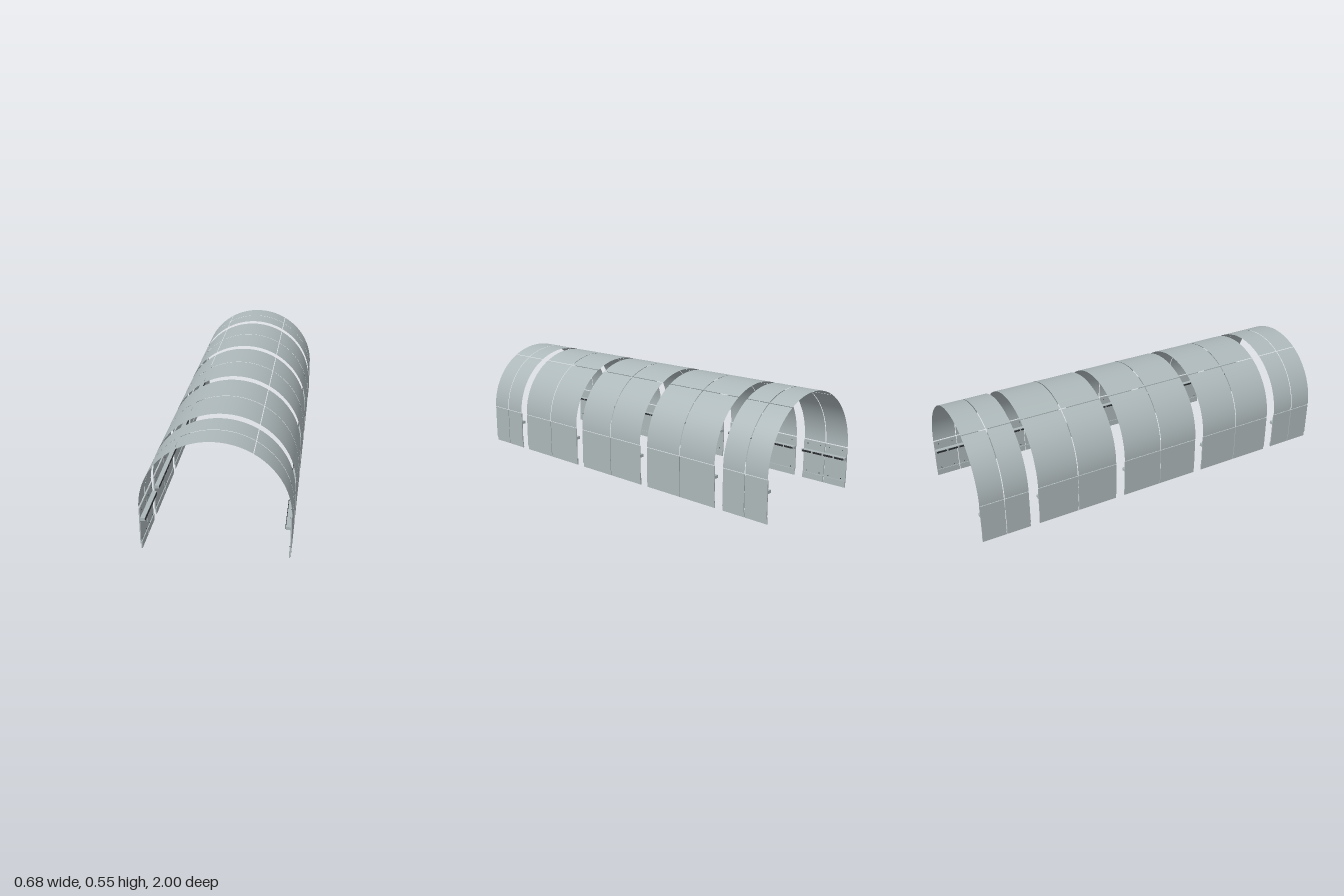
import * as THREE from 'three';

export function createModel() {
  const model = new THREE.Group();
  model.name = 'tunnelLining';

  const panelGrey = new THREE.MeshStandardMaterial({ color: 0xadb8ba, side: THREE.DoubleSide });
  panelGrey.name = 'panelGrey';
  const darkGrey = new THREE.MeshStandardMaterial({ color: 0x2b2e30 });
  darkGrey.name = 'darkGrey';

  const RADIUS = 0.341, SPRING = 0.211, GAP = 0.004;

  function add(parent, name, geometry, material, x, y, z) {
    const mesh = new THREE.Mesh(geometry, material);
    mesh.name = name;
    mesh.position.set(x, y, z);
    parent.add(mesh);
    return mesh;
  }
  const box = (parent, name, mat, w, h, d, x, y, z) =>
    add(parent, name, new THREE.BoxGeometry(w, h, d), mat, x, y, z);

  // Three curved sheets make the vault of one panel row
  function addVault(parent, length, z) {
    const gapAngle = GAP / RADIUS;
    for (let i = 0; i < 3; i++) {
      const start = Math.PI / 2 + i * Math.PI / 3 + (i > 0 ? gapAngle / 2 : 0);
      const end = Math.PI / 2 + (i + 1) * Math.PI / 3 - (i < 2 ? gapAngle / 2 : 0);
      const sheet = new THREE.CylinderGeometry(RADIUS, RADIUS, length, 20, 1, true, start, end - start);
      sheet.rotateX(Math.PI / 2);
      add(parent, 'vaultPanel', sheet, panelGrey, 0, SPRING, z);
    }
  }

  // Upright wall panel with its skirting and fixing studs
  function addWall(parent, side, length, z) {
    box(parent, 'wallPanel', panelGrey, 0.005, 0.182, length, side * 0.3385, 0.116, z);
    box(parent, 'skirting', panelGrey, 0.005, 0.033, length, side * 0.3345, 0.0165, z);
    for (const y of [0.043, 0.19]) {
      for (const end of [-1, 1]) {
        const stud = new THREE.CylinderGeometry(0.002, 0.002, 0.004, 8).rotateZ(Math.PI / 2);
        add(parent, 'wallStud', stud, darkGrey, side * 0.334, y, z + end * (length / 2 - 0.025));
      }
    }
  }

  // Handrail body with a row of dark inserts along its inner face
  function addRail(parent, side, length, z) {
    box(parent, 'rail', panelGrey, 0.021, 0.015, length, side * 0.3255, 0.151, z);
    const count = Math.round(length / 0.06);
    const pitch = length / count;
    for (let i = 0; i < count; i++) {
      box(parent, 'railInsert', darkGrey, 0.003, 0.009, pitch * 0.85,
        side * 0.3135, 0.151, z - length / 2 + (i + 0.5) * pitch);
    }
  }

  // Five bays along the tunnel, each split by one cross seam
  const bays = [[0.75, 1], [0.267, 0.7], [-0.217, 0.217], [-0.7, -0.267], [-1, -0.75]];
  for (const [back, front] of bays) {
    const bay = new THREE.Group();
    bay.name = 'bay';
    model.add(bay);
    const middle = (back + front) / 2;
    const half = (front - back - GAP) / 2;
    for (const s of [-1, 1]) {
      const z = middle + s * (half + GAP) / 2;
      addVault(bay, half, z);
      addWall(bay, 1, half, z);
      addWall(bay, -1, half, z);
    }
    addRail(bay, 1, front - back, middle);
    addRail(bay, -1, front - back, middle);
  }
  return model;
}
